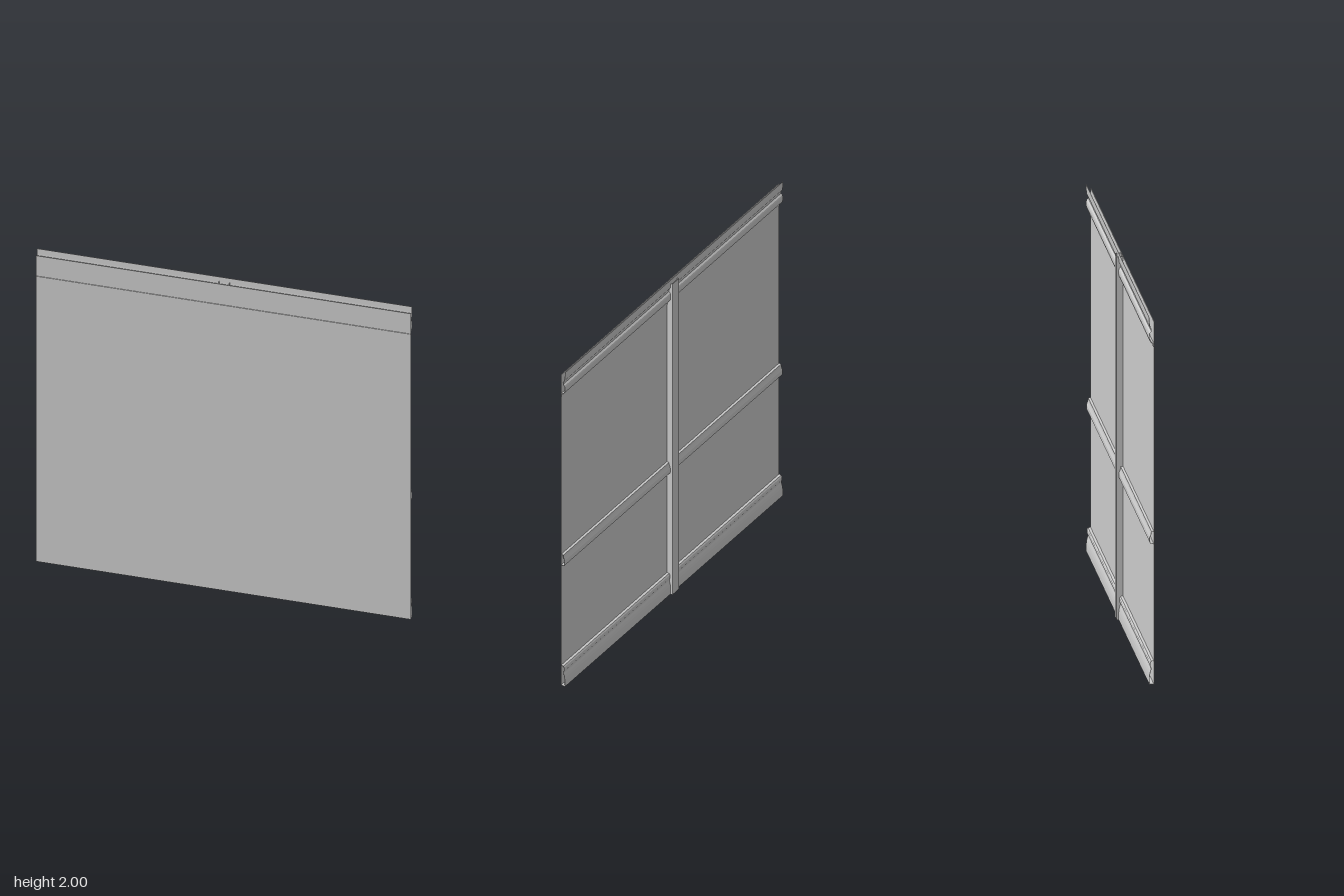
import * as THREE from 'three';

const W = 1.97, FRONT = 0.018, SKIN = 0.003;
const grey = new THREE.MeshStandardMaterial({ color: 0xcccccc, flatShading: true });
const INNER = FRONT - SKIN;

function box(name, x0, x1, y0, y1, z0, z1) {
  const mesh = new THREE.Mesh(new THREE.BoxGeometry(x1 - x0, y1 - y0, z1 - z0), grey);
  mesh.position.set((x0 + x1) / 2, (y0 + y1) / 2, (z0 + z1) / 2);
  mesh.name = name;
  return mesh;
}

// Thin sheet metal folded along a [z, y] path and run across the full width
function foldedRail(name, path, t = 0.0016) {
  const pts = path.map(([z, y]) => new THREE.Vector2(z, y));
  const offset = pts.map((p, i) => {
    const a = pts[Math.max(i - 1, 0)], b = pts[Math.min(i + 1, pts.length - 1)];
    const d = b.clone().sub(a).normalize();
    return new THREE.Vector2(p.x - d.y * t, p.y + d.x * t);
  });
  const shape = new THREE.Shape([...pts, ...offset.reverse()]);
  const geo = new THREE.ExtrudeGeometry(shape, { depth: W, bevelEnabled: false });
  // shape x -> world z, extrusion -> world -x
  geo.rotateY(-Math.PI / 2);
  geo.translate(W / 2, 0, 0);
  const mesh = new THREE.Mesh(geo, grey);
  mesh.name = name;
  return mesh;
}

export function createModel() {
  const group = new THREE.Group();
  group.name = 'wallPanel';
  const h = W / 2;

  // Front skin, split by a narrow horizontal groove
  group.add(
    box('frontSheet', -h, h, 0, 1.842, INNER, FRONT),
    box('upperFrontSheet', -h, h, 1.848, 1.975, INNER, FRONT),
    box('grooveStrip', -h, h, 1.835, 1.855, INNER - 0.002, INNER)
  );

  // Top rail: raised hanging flange, recess and rounded lower bead
  group.add(foldedRail('topRail', [
    [-0.010, 2.0], [-0.008, 1.97], [-0.005, 1.945], [0.003, 1.932], [0.003, 1.92],
    [-0.005, 1.912], [-0.008, 1.902], [-0.008, 1.882], [-0.005, 1.868], [0.003, 1.858], [INNER, 1.855],
  ]));

  // Middle rail
  group.add(foldedRail('middleRail', [
    [INNER, 0.835], [0.003, 0.833], [0.001, 0.82], [-0.003, 0.808], [-0.006, 0.80],
    [-0.006, 0.775], [-0.003, 0.768], [INNER, 0.765],
  ]));

  // Bottom rail: upper lip, shallow recess and curved foot
  group.add(foldedRail('bottomRail', [
    [INNER, 0.13], [0.002, 0.128], [-0.003, 0.12], [-0.003, 0.10], [0.001, 0.092],
    [0.001, 0.082], [-0.003, 0.07], [-0.006, 0.055], [-0.008, 0.035], [-0.008, 0.002], [INNER, 0.002],
  ]));

  // Central post: an open channel with its web at the back
  const post = new THREE.Group();
  post.name = 'centrePost';
  post.add(box('postWeb', -0.029, 0.029, 0, 1.975, -0.018, -0.015));
  for (const s of [-1, 1]) {
    post.add(box('postSide', s * 0.0275 - 0.0015, s * 0.0275 + 0.0015, 0, 1.975, -0.015, INNER));
  }
  group.add(post);
  return group;
}
